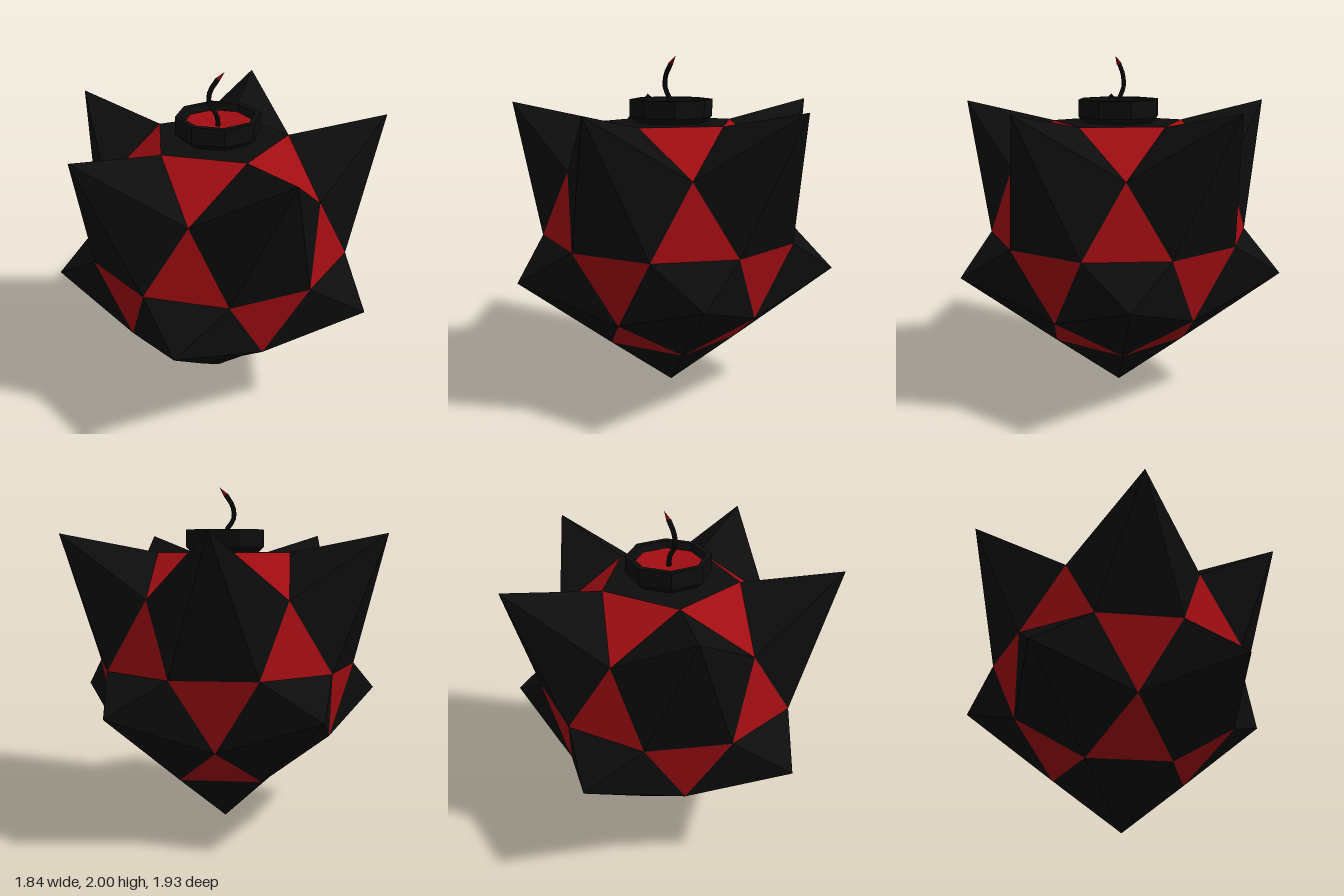
import * as THREE from 'three';

const black = new THREE.MeshStandardMaterial({ color: 0x0d0d0d, flatShading: true, side: THREE.DoubleSide });
const red = new THREE.MeshStandardMaterial({ color: 0xa00d12, flatShading: true, side: THREE.DoubleSide });

const R = 0.767, MID = 0.97;
const A = 0.8507 * R, B = 0.5257 * R;

// Point on a ring; k counts 36 degree steps from the front towards +x
const ring = (r, y, k) =>
  new THREE.Vector3(r * Math.sin(k * Math.PI / 5), y, r * Math.cos(k * Math.PI / 5));

// Triangle fan around a centre point
const fan = (centre, pts) => pts.flatMap((p, i) => [centre, p, pts[(i + 1) % pts.length]]);

function mesh(name, points, material) {
  const g = new THREE.BufferGeometry().setFromPoints(points);
  g.computeVertexNormals();
  const m = new THREE.Mesh(g, material);
  m.name = name;
  return m;
}

export function createModel() {
  const model = new THREE.Group();
  model.name = 'spikedBomb';

  // Shell with pentagon spikes and red triangles, upper half (s = 1) then lower half (s = -1)
  for (const s of [1, -1]) {
    const half = s > 0 ? 'upper' : 'lower';
    const cap = k => ring(B, MID + s * A, k);
    const mid = k => ring(A, MID + s * B, k);
    const eq = k => ring(R, MID, k);
    const tipY = s > 0 ? 1.73 : 0.77;
    const triangles = [], capRing = [];

    for (let i = 0; i < 5; i++) {
      const k = 2 * i + (s > 0 ? 1 : 0);
      const outline = [cap(k), mid(k - s), eq(k - s * 0.5), eq(k + s * 0.5), mid(k + s)];
      model.add(mesh(half + 'Spike', fan(ring(0.966, tipY, k), outline), black));
      const t = k + 1;
      triangles.push(cap(t - s), mid(t), cap(t + s));
      triangles.push(mid(t), eq(t - s * 0.5), eq(t + s * 0.5));
      capRing.push(cap(s * k));
    }
    model.add(mesh(half + 'Triangles', triangles, red));

    // Flat top face and pointed bottom
    const centre = new THREE.Vector3(0, s > 0 ? MID + A : 0, 0);
    model.add(mesh(s > 0 ? 'topFace' : 'bottomSpike', fan(centre, capRing), black));
  }

  // Octagonal collar and the red dish inside it
  const lathe = (name, profile, material) => {
    const g = new THREE.LatheGeometry(profile.map(p => new THREE.Vector2(...p)), 8, Math.PI / 8);
    const m = new THREE.Mesh(g, material);
    m.name = name;
    model.add(m);
  };
  lathe('collar', [[0.205, 1.62], [0.243, 1.655], [0.243, 1.755], [0.21, 1.755], [0.195, 1.715]], black);
  lathe('dish', [[0, 1.69], [0.195, 1.715]], red);

  // Bent wick with a red tip
  const path = new THREE.CatmullRomCurve3([
    [0, 1.68, 0], [-0.005, 1.75, 0.005], [-0.047, 1.82, 0.015], [-0.042, 1.89, 0.013], [0, 1.96, 0]
  ].map(p => new THREE.Vector3(...p)));
  const wick = new THREE.Mesh(new THREE.TubeGeometry(path, 10, 0.014, 6), black);
  wick.name = 'wick';
  model.add(wick);

  const from = new THREE.Vector3(0, 1.958, 0), to = new THREE.Vector3(0.035, 2, -0.01);
  const dir = to.clone().sub(from);
  const tip = new THREE.Mesh(new THREE.ConeGeometry(0.014, dir.length(), 6), red);
  tip.name = 'wickTip';
  tip.position.copy(from).add(to).multiplyScalar(0.5);
  tip.quaternion.setFromUnitVectors(new THREE.Vector3(0, 1, 0), dir.normalize());
  model.add(tip);

  return model;
}
